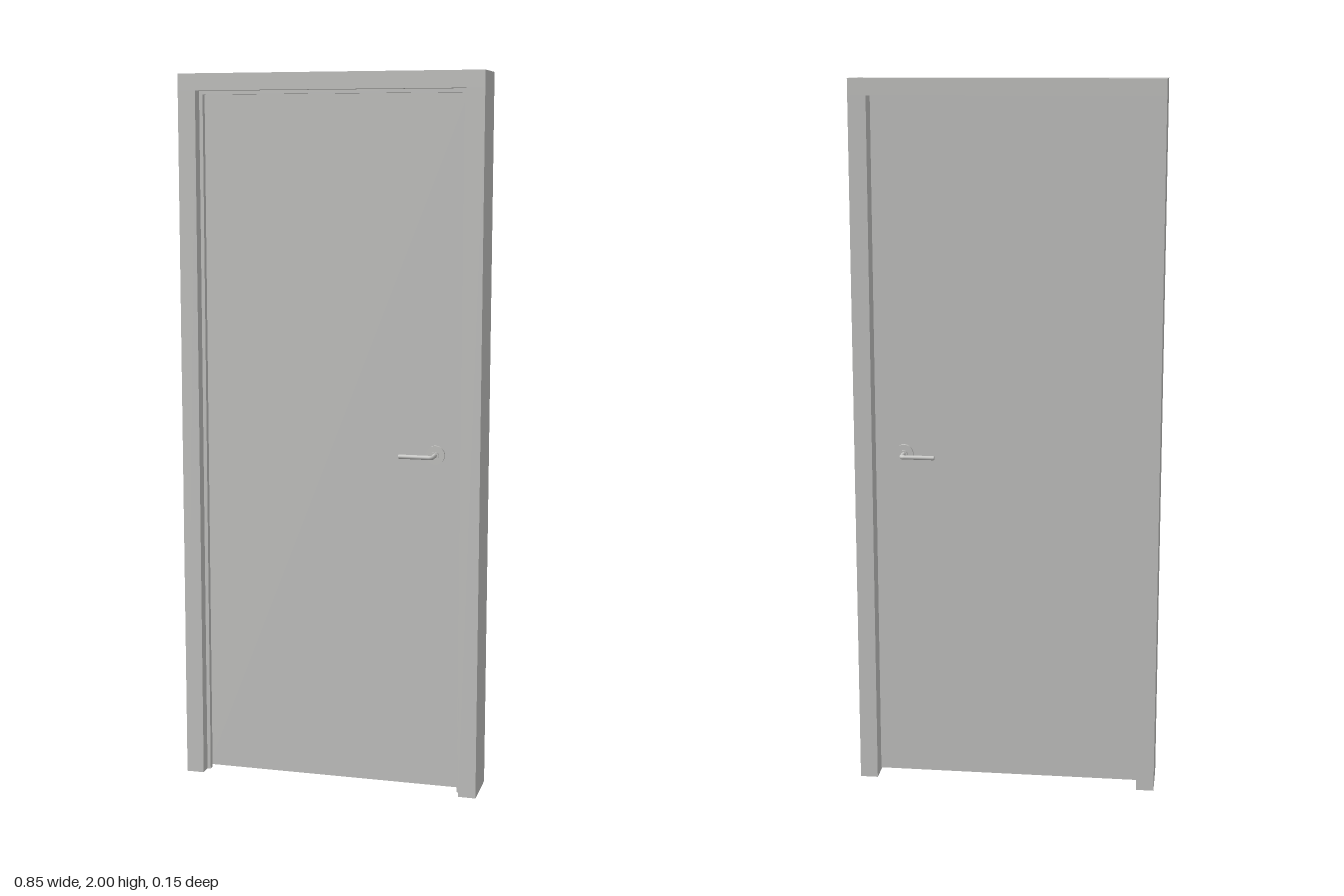
import * as THREE from 'three';

export function createModel() {
  const model = new THREE.Group();
  model.name = 'door';
  const grey = new THREE.MeshStandardMaterial({ color: 0xc8c8c6 });
  grey.name = 'light grey';

  const add = (parent, geometry, name, x = 0, y = 0, z = 0) => {
    const mesh = new THREE.Mesh(geometry, grey);
    mesh.name = name;
    mesh.position.set(x, y, z);
    parent.add(mesh);
    return mesh;
  };
  // Box given by its min and max corners
  const box = (name, [x0, y0, z0], [x1, y1, z1]) =>
    add(model, new THREE.BoxGeometry(x1 - x0, y1 - y0, z1 - z0), name,
      (x0 + x1) / 2, (y0 + y1) / 2, (z0 + z1) / 2);

  const W = 0.427, IN = 0.377, TOP = 1.954, D = 0.07;
  const LEAF = 0.019, STOP = 0.036, BEAD = 0.01;

  // Frame: two jambs under a full-width head
  box('leftJamb', [IN, 0, -D], [W, TOP, D]);
  box('rightJamb', [-W, 0, -D], [-IN, TOP, D]);
  box('head', [-W, TOP, -D], [W, 2, D]);

  // Stop beads on the front side of the leaf
  box('leftStop', [IN - BEAD, 0, LEAF], [IN, TOP, STOP]);
  box('rightStop', [-IN, 0, LEAF], [-IN + BEAD, TOP, STOP]);
  box('headStop', [-IN + BEAD, TOP - BEAD, LEAF], [IN - BEAD, TOP, STOP]);

  // Door leaf with a small gap at the floor
  box('leaf', [-IN + 0.001, 0.008, -LEAF], [IN - 0.001, TOP - 0.001, LEAF]);

  // Lever handles, mirrored on both faces
  const R = 0.006, REACH = 0.071, BEND = 0.008, NECK = 0.294, TIP = 0.202;
  const path = new THREE.CurvePath();
  for (const side of [1, -1]) {
    const handle = new THREE.Group();
    handle.name = side > 0 ? 'frontHandle' : 'backHandle';
    handle.position.y = 0.963;
    model.add(handle);

    const rose = add(handle, new THREE.CylinderGeometry(0.026, 0.026, 0.008, 32), 'rose',
      NECK, 0, side * (LEAF + 0.004));
    rose.rotation.x = Math.PI / 2;
    const collar = add(handle, new THREE.CylinderGeometry(0.01, 0.01, 0.006, 24), 'collar',
      NECK, 0, side * (LEAF + 0.011));
    collar.rotation.x = Math.PI / 2;

    // Neck, rounded bend and grip as one bent rod
    const p = (x, z) => new THREE.Vector3(x, 0, side * z);
    const rod = new THREE.CurvePath();
    rod.add(new THREE.LineCurve3(p(NECK, LEAF), p(NECK, REACH - BEND)));
    rod.add(new THREE.QuadraticBezierCurve3(p(NECK, REACH - BEND), p(NECK, REACH), p(NECK - BEND, REACH)));
    rod.add(new THREE.LineCurve3(p(NECK - BEND, REACH), p(TIP, REACH)));
    add(handle, new THREE.TubeGeometry(rod, 64, R, 16), 'lever');

    // Flat end of the grip
    const cap = add(handle, new THREE.CylinderGeometry(R * 0.8, R, 0.002, 16), 'leverEnd',
      TIP - 0.001, 0, side * REACH);
    cap.rotation.z = Math.PI / 2;
  }
  return model;
}
